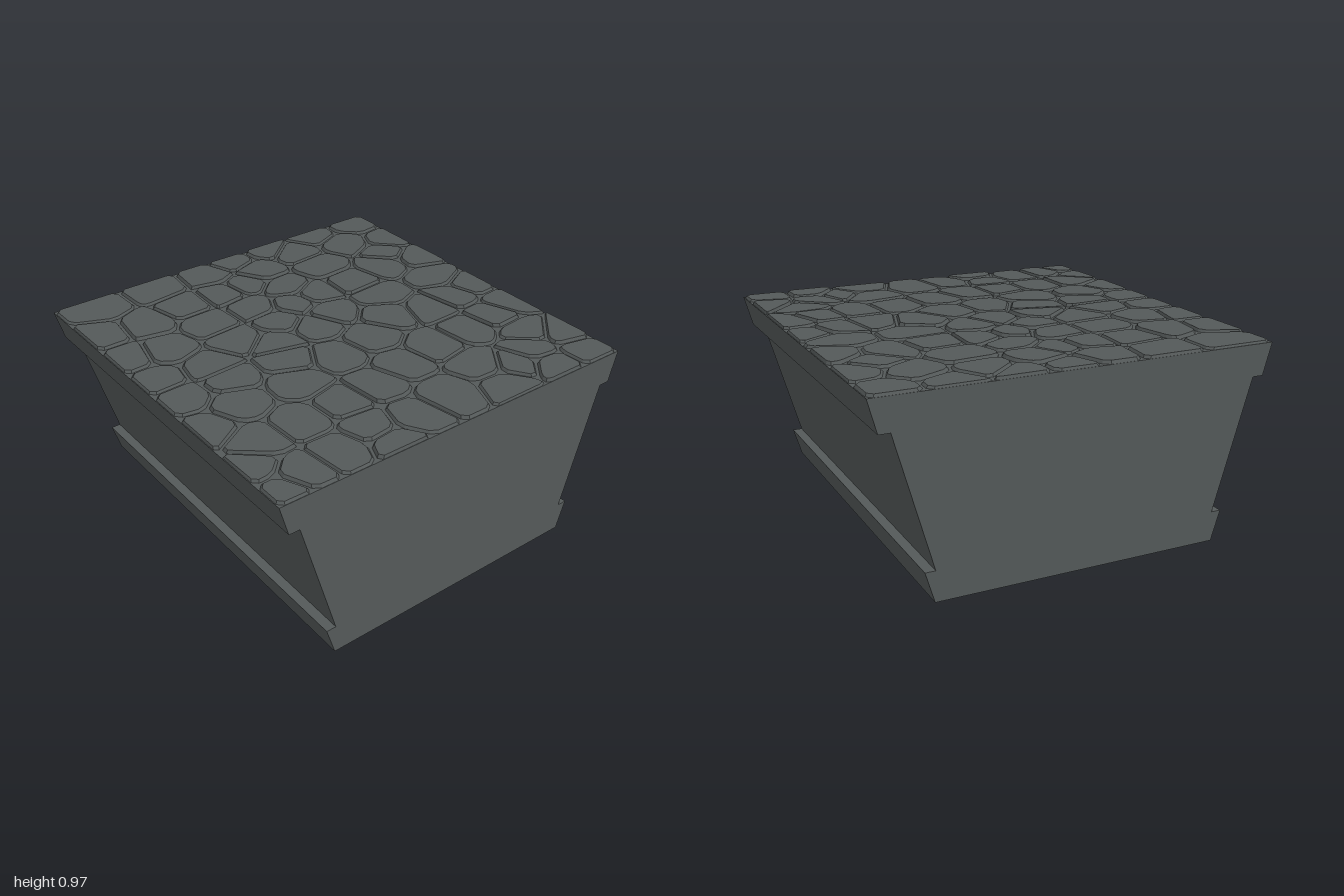
import * as THREE from 'three';

const stone = new THREE.MeshStandardMaterial({ color: 0x545959, flatShading: true });
stone.name = 'dark grey stone';

const DECK = 0.957;

// Approximate centres [x, z] of the paving stones, back to front
const CENTRES = [
  [-0.8, -0.88], [-0.46, -0.89], [-0.15, -0.86], [0.04, -0.93], [0.28, -0.95], [0.6, -0.95], [0.88, -0.94],
  [0.1, -0.76], [0.39, -0.82], [0.69, -0.74], [0.92, -0.64], [-0.91, -0.63], [-0.69, -0.6], [-0.43, -0.66],
  [-0.2, -0.65], [-0.05, -0.67], [0.11, -0.5], [0.41, -0.59], [-0.91, -0.36], [-0.74, -0.32], [-0.42, -0.41],
  [-0.16, -0.42], [0.03, -0.33], [0.19, -0.36], [0.43, -0.35], [0.68, -0.4], [0.8, -0.52], [0.91, -0.37],
  [-0.4, -0.19], [-0.14, -0.22], [-0.9, -0.1], [-0.65, -0.05], [-0.28, -0.05], [-0.02, -0.07], [0.13, -0.14],
  [0.45, -0.13], [0.82, -0.12], [-0.64, 0.09], [-0.89, 0.1], [-0.32, 0.11], [-0.11, 0.23], [0.13, 0.19],
  [0.34, 0.06], [0.56, 0.13], [0.74, 0.1], [0.91, 0.05], [-0.94, 0.38], [-0.72, 0.29], [-0.4, 0.31],
  [0.08, 0.47], [0.32, 0.43], [0.57, 0.41], [0.76, 0.38], [0.93, 0.32], [-0.82, 0.58], [-0.58, 0.57],
  [-0.34, 0.56], [-0.13, 0.54], [-0.94, 0.72], [0.37, 0.69], [0.78, 0.6], [0.67, 0.74], [0.92, 0.73],
  [-0.93, 0.93], [-0.79, 0.87], [-0.58, 0.85], [-0.36, 0.78], [-0.34, 0.95], [-0.16, 0.84], [0.08, 0.8],
  [0.36, 0.91], [0.52, 0.8], [0.65, 0.91], [0.88, 0.9],
];

// Keep the part of a polygon where n . p <= d
function clip(poly, nx, nz, d) {
  const out = [];
  poly.forEach((a, i) => {
    const b = poly[(i + 1) % poly.length];
    const da = nx * a[0] + nz * a[1] - d;
    const db = nx * b[0] + nz * b[1] - d;
    if (da <= 0) out.push(a);
    if (da * db < 0) {
      const t = da / (da - db);
      out.push([a[0] + (b[0] - a[0]) * t, a[1] + (b[1] - a[1]) * t]);
    }
  });
  return out;
}

// Outline of one stone: everything nearer to its centre than to the others, less the joint
function cell(index, joint) {
  const [x, z] = CENTRES[index];
  let poly = [[-0.994, -0.998], [-0.994, 0.998], [0.994, 0.998], [0.994, -0.998]];
  CENTRES.forEach(([ox, oz], k) => {
    if (k === index) return;
    const len = Math.hypot(ox - x, oz - z);
    const nx = (ox - x) / len, nz = (oz - z) / len;
    poly = clip(poly, nx, nz, nx * x + nz * z + len / 2 - joint);
  });
  return poly;
}

// Replace each corner with a short cut
function cutCorners(poly) {
  const n = poly.length, out = [];
  poly.forEach((p, i) => {
    for (const q of [poly[(i + n - 1) % n], poly[(i + 1) % n]]) {
      const len = Math.hypot(q[0] - p[0], q[1] - p[1]);
      const t = Math.min(0.025 / len, 0.25);
      out.push([p[0] + (q[0] - p[0]) * t, p[1] + (q[1] - p[1]) * t]);
    }
  });
  return out;
}

// Low slab with sloping sides
function stoneGeometry(index) {
  const base = cutCorners(cell(index, 0.007));
  const n = base.length;
  const cx = base.reduce((s, p) => s + p[0], 0) / n;
  const cz = base.reduce((s, p) => s + p[1], 0) / n;
  const top = DECK + 0.011 + 0.005 * ((index * 7) % 5) / 4;
  const upper = base.map(([x, z]) => {
    const k = 1 - 0.01 / Math.hypot(x - cx, z - cz);
    return [cx + (x - cx) * k, top, cz + (z - cz) * k];
  });
  const lower = base.map(([x, z]) => [x, DECK, z]);
  const pos = [];
  for (let i = 0; i < n; i++) {
    const j = (i + 1) % n;
    pos.push(...lower[i], ...lower[j], ...upper[j], ...lower[i], ...upper[j], ...upper[i]);
    pos.push(cx, top, cz, ...upper[i], ...upper[j]);
  }
  const geo = new THREE.BufferGeometry();
  geo.setAttribute('position', new THREE.Float32BufferAttribute(pos, 3));
  geo.computeVertexNormals();
  return geo;
}

export function createModel() {
  const group = new THREE.Group();
  group.name = 'pavedPlatform';

  // Tapered body with a foot ledge and a top rim, mirrored left and right
  const half = [[0.72, 0], [0.765, 0.15], [0.715, 0.15], [0.9, 0.8], [0.955, 0.8], [0.998, DECK]];
  const outline = [...half, ...half.map(([x, y]) => [-x, y]).reverse()];
  const shape = new THREE.Shape(outline.map(([x, y]) => new THREE.Vector2(x, y)));
  const bodyGeo = new THREE.ExtrudeGeometry(shape, { depth: 2, bevelEnabled: false });
  bodyGeo.translate(0, 0, -1);
  const body = new THREE.Mesh(bodyGeo, stone);
  body.name = 'body';
  group.add(body);

  // Paving on the deck
  const paving = new THREE.Group();
  paving.name = 'paving';
  CENTRES.forEach((_, i) => {
    const slab = new THREE.Mesh(stoneGeometry(i), stone);
    slab.name = 'pavingStone' + (i + 1);
    paving.add(slab);
  });
  group.add(paving);
  return group;
}
